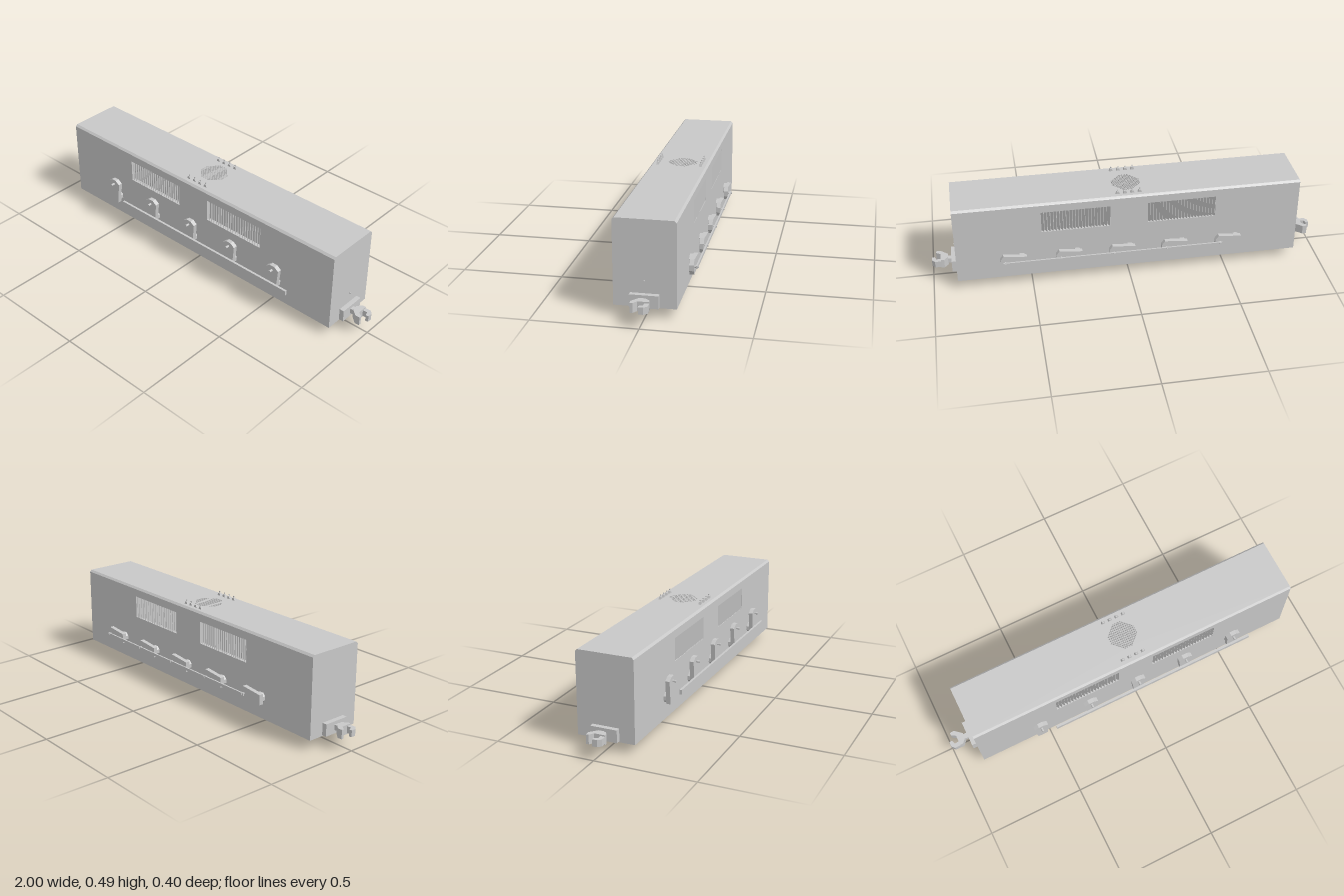
import * as THREE from 'three';

const grey = new THREE.MeshStandardMaterial({ color: 0xc8c8c8 });
grey.name = 'plain grey';

const L = 0.877, AXLE_Y = 0.16;
const AXLES = [-0.55, -0.27, 0, 0.27, 0.55];

function add(parent, name, geo, x = 0, y = 0, z = 0) {
  const flat = geo.index ? geo.toNonIndexed() : geo;
  flat.computeVertexNormals();
  const m = new THREE.Mesh(flat, grey);
  m.name = name;
  m.position.set(x, y, z);
  parent.add(m);
  return m;
}
const box = (w, h, d) => new THREE.BoxGeometry(w, h, d);
const poly = (pts, C = THREE.Shape) => new C(pts.map(p => new THREE.Vector2(...p)));
const rect = (x0, y0, x1, y1) => [[x0, y0], [x1, y0], [x1, y1], [x0, y1]];
const extrude = (shape, depth) => new THREE.ExtrudeGeometry(shape, { depth, bevelEnabled: false });

// Side wall with two louvred openings
function sideWall() {
  const g = new THREE.Group();
  g.name = 'sideWall';
  const wall = poly(rect(-L, 0.05, L, 0.455));
  const pitch = 0.347 / 22;
  for (const x0 of [-0.443, 0.094]) {
    wall.holes.push(poly(rect(x0, 0.3, x0 + 0.347, 0.415), THREE.Path));
    for (let i = 0; i < 22; i++) {
      const slat = add(g, 'louvre', box(0.021, 0.115, 0.002), x0 + (i + 0.5) * pitch, 0.3575, 0.1355);
      slat.rotation.y = -1.01;
    }
  }
  add(g, 'wallPanel', extrude(wall, 0.02), 0, 0, 0.125);
  // Chamfered roof edge
  const edge = extrude(poly([[-0.145, 0.455], [-0.135, 0.455], [-0.135, 0.465]]), 2 * L);
  edge.rotateY(Math.PI / 2);
  add(g, 'roofEdge', edge, -L, 0, 0);
  return g;
}

// Flat roof with a perforated octagonal fan grille
function roof() {
  const shape = poly(rect(-L, -0.135, L, 0.135));
  const p = 0.0125, r = 0.0048, c = Math.cos(Math.PI / 8);
  for (let i = -12; i <= 12; i++) for (let j = -12; j <= 12; j++) {
    if ((i + j) % 2) continue;
    const x = i * p * 0.5, y = j * p * 0.5;
    const reach = Math.max(Math.abs(x), Math.abs(y), (Math.abs(x) + Math.abs(y)) * Math.SQRT1_2);
    if (reach > 0.075 * c) continue;
    const cy = y + 0.01;
    shape.holes.push(poly([[x - r, cy], [x, cy - r], [x + r, cy], [x, cy + r]], THREE.Path));
  }
  return extrude(shape, 0.015).rotateX(-Math.PI / 2);
}

// Octagonal wheel rim, optionally flanged on its inner side
function rim(flange, tread, inner) {
  const k = 1 / Math.cos(Math.PI / 8);
  const pts = [[inner, 0.05], [flange, 0.05], [tread, 0.062], [tread, 0.073], [inner, 0.073], [inner, 0.05]];
  return new THREE.LatheGeometry(pts.map(([r, y]) => new THREE.Vector2(r * k, y)), 8, Math.PI / 8)
    .rotateX(Math.PI / 2);
}
function wheelPair(parent, name, x, y, flange, tread, inner) {
  for (const side of [0, Math.PI]) add(parent, name, rim(flange, tread, inner), x, y, 0).rotation.y = side;
}

// Crank plate with hub and pin; local +y points to the pin, +z outward
function crank() {
  const g = new THREE.Group();
  g.name = 'crank';
  const plate = poly([[-0.026, -0.025], [0.026, -0.025], [0.037, 0.092], [0.014, 0.109], [-0.014, 0.109], [-0.037, 0.092]]);
  add(g, 'crankPlate', extrude(plate, 0.022), 0, 0, 0.16);
  const hub = new THREE.CylinderGeometry(0.027, 0.027, 0.025, 8, 1, false, Math.PI / 8).rotateX(Math.PI / 2);
  add(g, 'crankHub', hub, 0, 0, 0.149);
  add(g, 'crankPin', new THREE.CylinderGeometry(0.006, 0.006, 0.022, 8).rotateX(Math.PI / 2), 0, 0.085, 0.19);
  return g;
}

// End fittings: pad and hooked coupler
function endGear() {
  const g = new THREE.Group();
  g.name = 'endGear';
  add(g, 'couplerPad', box(0.026, 0.062, 0.134), L + 0.011, 0.086, 0);
  add(g, 'couplerShank', box(0.04, 0.026, 0.026), 0.915, 0.087, 0);
  const head = poly([
    [0.918, -0.012], [0.938, -0.035], [0.955, -0.036], [0.955, 0.018], [0.978, 0.033],
    [0.978, 0.046], [0.955, 0.048], [0.918, 0.016]]);
  add(g, 'couplerHead', extrude(head, 0.047).rotateX(Math.PI / 2), 0, 0.111, 0);
  const hook = poly([
    [0.95, -0.036], [0.985, -0.037], [1, -0.02], [1, 0.004], [0.985, 0.006], [0.978, -0.015], [0.95, -0.013]]);
  add(g, 'couplerHook', extrude(hook, 0.034).rotateX(Math.PI / 2), 0, 0.104, 0);
  return g;
}

export function createModel() {
  const model = new THREE.Group();
  model.name = 'locomotive';

  // Body shell, open below the floor
  add(model, 'bodyCore', box(2 * L - 0.02, 0.36, 0.25), 0, 0.27, 0);
  for (const s of [-1, 1]) add(model, 'endWall', box(0.015, 0.405, 0.25), s * (L - 0.0075), 0.2525, 0);
  add(model, 'roof', roof(), 0, 0.45, 0);
  for (const turn of [0, Math.PI]) {
    for (const make of [sideWall, endGear]) {
      const part = make();
      part.rotation.y = turn;
      model.add(part);
    }
  }
  add(model, 'lampPoint', box(0.01, 0.005, 0.005), L + 0.004, 0.179, 0);

  // Roof lifting points
  for (const z of [-0.11, 0.11]) for (const x of [-0.057, -0.02, 0.017, 0.054]) {
    add(model, 'roofCone', extrude(poly([[-0.01, 0], [0.01, 0], [0.005, 0.013], [-0.005, 0.013]]), 0.012), x, 0.465, z - 0.006);
    add(model, 'roofStalk', box(0.002, 0.008, 0.002), x, 0.48, z);
    add(model, 'roofTip', box(0.005, 0.005, 0.005), x, 0.4855, z);
  }

  // Driving wheels and cranks: upright in front, a quarter turn on at the back
  AXLES.forEach((x, i) => {
    const flanged = i % 2 === 1;
    wheelPair(model, 'drivingWheel', x, AXLE_Y, flanged ? 0.16 : 0.152, flanged ? 0.147 : 0.152, 0.126);
    const front = crank();
    front.position.set(x, AXLE_Y, 0);
    model.add(front);
    const back = crank();
    back.position.set(x, AXLE_Y, 0);
    back.rotation.set(0, Math.PI, Math.PI / 2, 'YXZ');
    model.add(back);
  });
  add(model, 'frontSideRod', box(1.12, 0.024, 0.012), 0.085, AXLE_Y, 0.188);
  add(model, 'backSideRod', box(1.12, 0.014, 0.008), 0.085, AXLE_Y, -0.193);

  // Small end wheels with their pivot arms
  for (const s of [-1, 1]) {
    wheelPair(model, 'guideWheel', s * 0.755, 0.045, 0.045, 0.033, 0.02);
    for (const turn of [0, Math.PI / 2]) {
      for (const z of [-0.06, 0.06]) {
        add(model, 'guideSpoke', box(0.056, 0.01, 0.012), s * 0.755, 0.045, z).rotation.z = turn;
      }
    }
    add(model, 'guideAxle', box(0.014, 0.014, 0.12), s * 0.755, 0.045, 0);
    add(model, 'guideArm', box(0.17, 0.014, 0.03), s * 0.68, 0.055, 0);
  }

  // Cross bracing below the flanged wheels
  for (const x of [-0.27, 0.27]) {
    for (const a of [-0.65, 0.65]) add(model, 'crossBrace', box(0.16, 0.012, 0.014), x, 0.05, 0).rotation.y = a;
    add(model, 'braceBar', box(0.014, 0.014, 0.1), x, 0.046, 0);
    for (const z of [-0.037, 0.037]) add(model, 'bracePost', box(0.012, 0.07, 0.024), x, 0.06, z);
  }
  return model;
}
